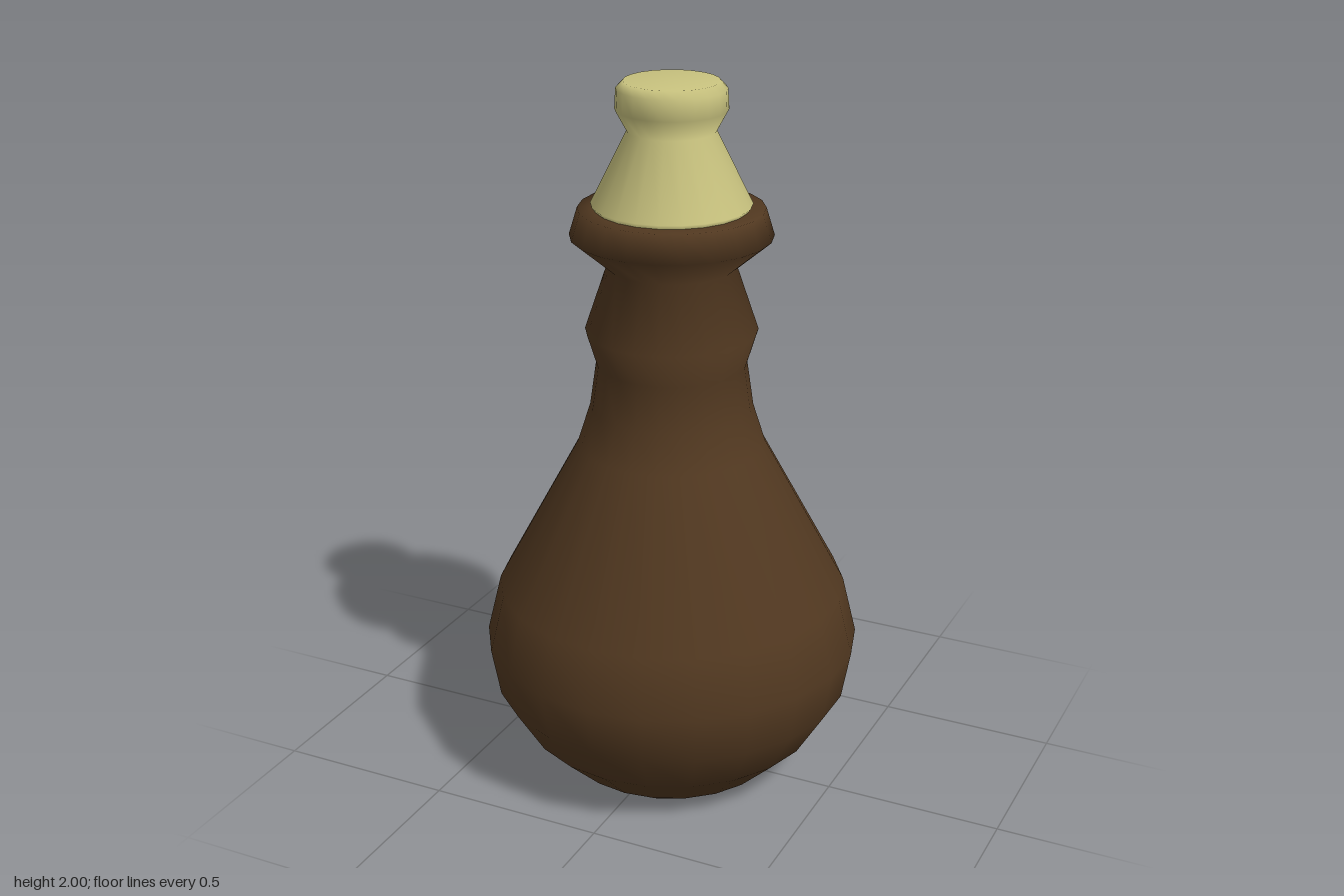
import * as THREE from 'three';

const SIDES = 22;

// Smooth turned part from [radius, height] pairs, listed bottom to top
function turned(name, color, profile) {
  const points = profile.map(([r, y]) => new THREE.Vector2(r, y));
  const mesh = new THREE.Mesh(
    new THREE.LatheGeometry(points, SIDES),
    new THREE.MeshStandardMaterial({ color })
  );
  mesh.name = name;
  return mesh;
}

export function createModel() {
  const model = new THREE.Group();
  model.name = 'bottle';

  // Round belly, ringed neck and flared lip
  model.add(turned('bottleBody', 0x513820, [
    [0, 0], [0.28, 0], [0.31, 0.02], [0.425, 0.13], [0.505, 0.26],
    [0.53, 0.4], [0.49, 0.565], [0.26, 0.99], [0.225, 1.1],
    [0.207, 1.225], [0.236, 1.32], [0.175, 1.5], [0.275, 1.585],
    [0.252, 1.66], [0.2, 1.66], [0, 1.66],
  ]));

  // Tapered stopper with a rounded knob
  model.add(turned('stopper', 0xc9c37f, [
    [0, 1.65], [0.2, 1.65], [0.217, 1.672], [0.119, 1.868],
    [0.15, 1.925], [0.147, 1.98], [0.128, 2], [0, 2],
  ]));

  return model;
}
